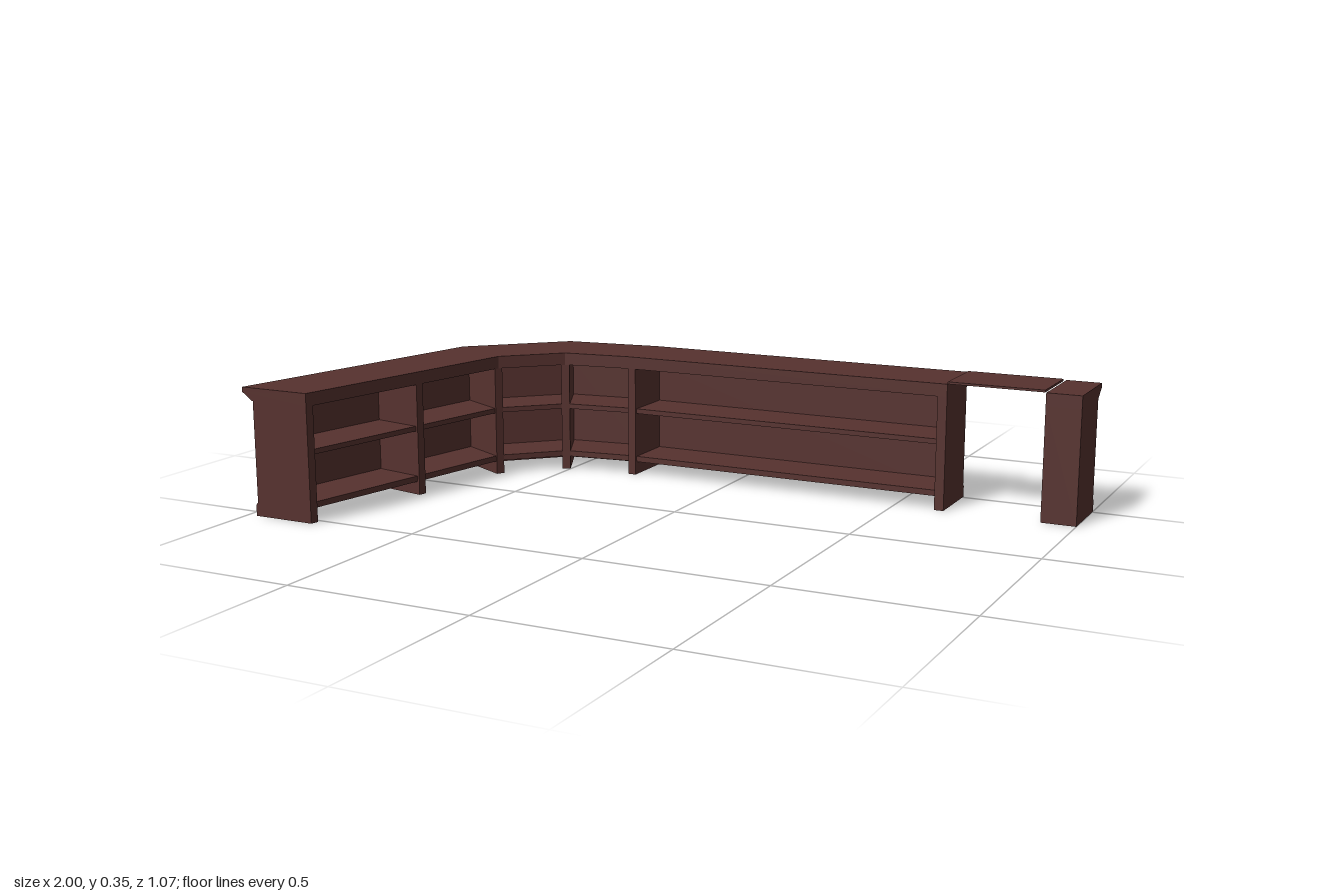
import * as THREE from 'three';

const material = new THREE.MeshStandardMaterial({ color: 0x57322f, flatShading: true });

// Customer-side edge of the counter top as [x, z], running right wing to left wing
const COUNTER = [[0.64, -0.535], [-0.33, -0.535], [-0.605, -0.5], [-0.84, -0.27], [-1, 0.535]];
const POST = [[1, -0.535], [0.905, -0.535]];
const DEPTH = 0.203;

// Returns at(u): point and mitred inward vector; u = segment index + fraction
function makePath(pts, endCut) {
  const last = pts.length - 1;
  const normals = pts.slice(0, -1).map(([x, z], i) => {
    const dx = pts[i + 1][0] - x, dz = pts[i + 1][1] - z, l = Math.hypot(dx, dz);
    return [dz / l, -dx / l];
  });
  const at = (u) => {
    const i = Math.min(Math.floor(u), last - 1), t = u - i;
    const p = [0, 1].map((k) => pts[i][k] + (pts[i + 1][k] - pts[i][k]) * t);
    let m = normals[i];
    if (endCut && u > last - 0.1) m = endCut;
    else if (i > 0 && t < 1e-6) {
      const a = normals[i - 1], s = [a[0] + m[0], a[1] + m[1]];
      const k = 2 / (s[0] * s[0] + s[1] * s[1]);
      m = [s[0] * k, s[1] * k];
    }
    return { p, m };
  };
  at.last = last;
  return at;
}

const rect = (d0, d1, y0, y1) => [[d0, y0], [d1, y0], [d1, y1], [d0, y1]];

// Stations from u0 to u1 including every bend between
function span(at, u0, u1) {
  const us = [u0];
  for (let k = Math.ceil(u0 + 1e-4); k < u1 - 1e-4; k++) us.push(k);
  us.push(u1);
  return us.map(at);
}

// Sweeps a convex (depth, height) profile along the stations
function sweep(name, profile, stations) {
  const rings = stations.map(({ p, m, flat }) => profile.map(([d, y]) => {
    const o = flat ?? d;
    return [p[0] + m[0] * o, y, p[1] + m[1] * o];
  }));
  const out = [], n = profile.length;
  const tri = (a, b, c) => out.push(...a, ...b, ...c);
  for (let i = 0; i < rings.length - 1; i++) {
    for (let j = 0; j < n; j++) {
      const k = (j + 1) % n, A = rings[i], B = rings[i + 1];
      tri(A[j], A[k], B[k]);
      tri(A[j], B[k], B[j]);
    }
  }
  const first = rings[0], end = rings[rings.length - 1];
  for (let j = 1; j < n - 1; j++) {
    tri(first[0], first[j + 1], first[j]);
    tri(end[0], end[j], end[j + 1]);
  }
  const g = new THREE.BufferGeometry();
  g.setAttribute('position', new THREE.Float32BufferAttribute(out, 3));
  g.computeVertexNormals();
  const mesh = new THREE.Mesh(g, material);
  mesh.name = name;
  return mesh;
}

// Raised panel with bevels on all four sides
function raisedPanel(at, u0, u1, bevel) {
  const profile = [[0.034, 0.06], [0.034, 0.292], [0.015, 0.268], [0.015, 0.082]];
  return sweep('raisedPanel', profile, [
    { ...at(u0), flat: 0.034 }, ...span(at, u0 + bevel, u1 - bevel), { ...at(u1), flat: 0.034 },
  ]);
}

// Upright board standing across the counter at u
function divider(at, u) {
  const { p, m } = at(u), k = Math.hypot(m[0], m[1]);
  const d0 = 0.04, d1 = DEPTH, mid = (d0 + d1) / 2;
  const mesh = new THREE.Mesh(new THREE.BoxGeometry(0.024, 0.312, (d1 - d0) * k), material);
  mesh.position.set(p[0] + m[0] * mid, 0.156, p[1] + m[1] * mid);
  mesh.rotation.y = Math.atan2(m[0], m[1]);
  mesh.name = 'shelfDivider';
  return mesh;
}

// Top with cornice, back board and plinth shared by counter and post
function shell(at) {
  const all = span(at, 0, at.last);
  return [
    sweep('top', [[0, 0.333], [0.03, 0.311], [DEPTH, 0.311], [DEPTH, 0.346], [0, 0.346]], all),
    sweep('backBoard', rect(0.033, 0.05, 0, 0.312), all),
    sweep('plinth', [[0.027, 0], [0.034, 0], [0.034, 0.038], [0.027, 0.03]], all),
  ];
}

export function createModel() {
  const model = new THREE.Group();
  model.name = 'barCounter';

  // Main counter
  const counter = new THREE.Group();
  counter.name = 'counter';
  const at = makePath(COUNTER, [1.02, 0]);
  counter.add(...shell(at));
  const end = rect(0.033, DEPTH, 0, 0.312);
  counter.add(sweep('rightEndPanel', end, span(at, 0, 0.027)));
  counter.add(sweep('leftEndPanel', end, span(at, 3.972, 4)));

  // Shelves and uprights
  for (const [y0, y1] of [[0.037, 0.053], [0.18, 0.194]]) {
    counter.add(sweep('shelf', rect(0.045, 0.196, y0, y1), span(at, 0.01, 3.985)));
  }
  for (const u of [0.975, 2, 3, 3.46]) counter.add(divider(at, u));

  // Panels on the customer side
  counter.add(raisedPanel(at, 0.04, 0.925, 0.02));
  counter.add(raisedPanel(at, 0.98, 3.42, 0.02));
  counter.add(raisedPanel(at, 3.5, 3.96, 0.025));
  model.add(counter);

  // Separate end post, hollow and open underneath
  const post = new THREE.Group();
  post.name = 'endPost';
  const pa = makePath(POST);
  post.add(...shell(pa));
  post.add(sweep('postFront', rect(0.19, DEPTH, 0, 0.312), span(pa, 0, 1)));
  for (const u of [0, 0.9]) post.add(sweep('postSide', end, span(pa, u, u + 0.1)));
  post.add(raisedPanel(pa, 0.14, 0.86, 0.16));
  model.add(post);

  // Thin lift-up flap bridging the gap
  const flap = new THREE.Mesh(new THREE.BoxGeometry(0.262, 0.006, 0.18), material);
  flap.position.set(0.772, 0.35, -0.42);
  flap.name = 'liftFlap';
  model.add(flap);

  return model;
}
